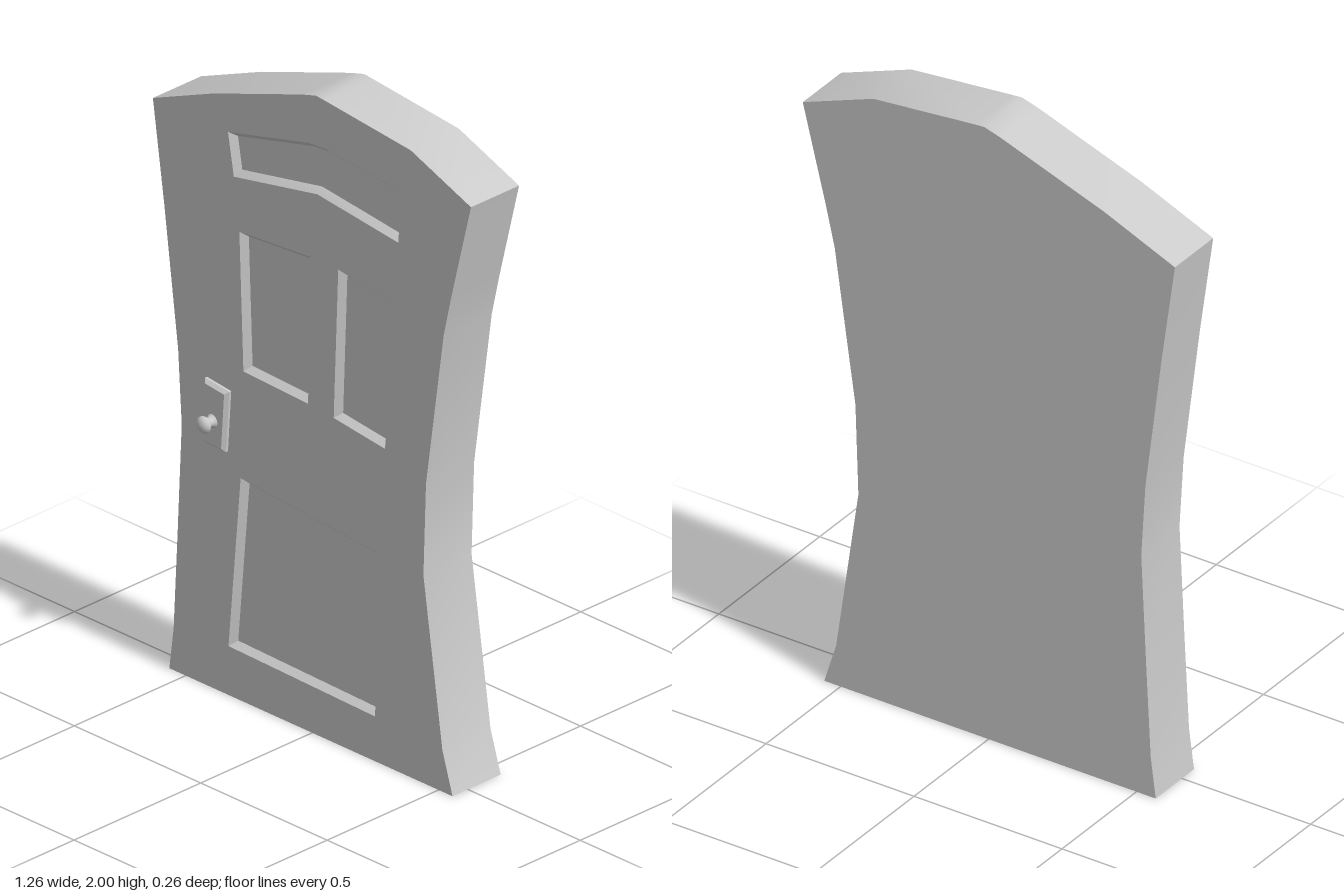
import * as THREE from 'three';
import { mergeGeometries, toCreasedNormals } from 'three/addons/utils/BufferGeometryUtils.js';

const FRONT = 0.06, BACK = -0.13;

// All outlines run clockwise seen from the front.
const OUTLINE = [
  [-0.565, 0], [-0.548, 0.13], [-0.532, 0.44], [-0.516, 0.78], [-0.53, 1.01], [-0.585, 1.445],
  [-0.63, 1.762], [-0.39, 1.862], [-0.04, 1.984], [0.015, 2], [0.05, 1.997], [0.39, 1.963],
  [0.628, 1.87], [0.55, 1.56], [0.52, 1.43], [0.45, 0.94], [0.44, 0.65], [0.515, 0.13], [0.555, 0],
];
const PANELS = {
  topPanel: [[-0.333, 1.762], [-0.013, 1.842], [0.05, 1.847], [0.35, 1.82], [0.341, 1.656], [0.02, 1.693], [-0.31, 1.63]],
  upperRightPanel: [[-0.288, 1.466], [-0.008, 1.487], [-0.016, 1.024], [-0.272, 1.034]],
  upperLeftPanel: [[0.103, 1.487], [0.333, 1.46], [0.288, 0.992], [0.085, 1.016]],
  lowerPanel: [[-0.283, 0.696], [0.26, 0.656], [0.249, 0.14], [-0.331, 0.153]],
};
const PLATE = [[-0.415, 0.966], [-0.32, 0.955], [-0.333, 0.762], [-0.423, 0.765]];

const vectors = (pts) => pts.map(([x, y]) => new THREE.Vector2(x, y));

// Flat polygon facing +z, with optional holes
function face(pts, z, holes = []) {
  const shape = new THREE.Shape(vectors(pts));
  shape.holes = holes.map((h) => new THREE.Path(vectors(h)));
  return new THREE.ShapeGeometry(shape).translate(0, 0, z).toNonIndexed();
}

// Band of quads joining two matching closed rings
function band(a, za, b, zb) {
  const pos = [], uv = [];
  a.forEach((p, i) => {
    const j = (i + 1) % a.length;
    const A = [...p, za], B = [...b[i], zb], C = [...b[j], zb], D = [...a[j], za];
    pos.push(...A, ...B, ...C, ...A, ...C, ...D);
    uv.push(0, 0, 0, 1, 1, 1, 0, 0, 1, 1, 1, 0);
  });
  const g = new THREE.BufferGeometry();
  g.setAttribute('position', new THREE.Float32BufferAttribute(pos, 3));
  g.setAttribute('uv', new THREE.Float32BufferAttribute(uv, 2));
  g.computeVertexNormals();
  return g;
}

// Mitred inward offset of a clockwise ring
function inset(pts, d) {
  const n = pts.length;
  const normal = (p, q) => new THREE.Vector2(q[1] - p[1], p[0] - q[0]).normalize();
  return pts.map((p, i) => {
    const n1 = normal(pts[(i + n - 1) % n], p), n2 = normal(p, pts[(i + 1) % n]);
    const k = d / (1 + n1.dot(n2));
    return [p[0] + (n1.x + n2.x) * k, p[1] + (n1.y + n2.y) * k];
  });
}

export function createModel() {
  const group = new THREE.Group();
  const material = new THREE.MeshStandardMaterial({ color: 0xcccccc });
  const add = (name, geometry) => {
    const mesh = new THREE.Mesh(geometry, material);
    mesh.name = name;
    group.add(mesh);
    return mesh;
  };
  const creased = (parts) => toCreasedNormals(mergeGeometries(parts), 0.5);

  // Slab: front with panel openings, plain back, bowed edges
  const back = face(OUTLINE.map(([x, y]) => [-x, y]), 0).rotateY(Math.PI).translate(0, 0, BACK);
  add('doorSlab', creased([
    face(OUTLINE, FRONT, Object.values(PANELS)),
    back,
    band(OUTLINE, BACK, OUTLINE, FRONT),
  ]));

  // Sunken panels with sloping walls
  for (const [name, ring] of Object.entries(PANELS)) {
    const inner = inset(ring, 0.017);
    add(name, creased([band(ring, FRONT, inner, FRONT - 0.02), face(inner, FRONT - 0.02)]));
  }

  // Bevelled plate behind the knob
  const rim = inset(PLATE, 0.01);
  add('knobPlate', creased([
    band(PLATE, FRONT, PLATE, FRONT + 0.008),
    band(PLATE, FRONT + 0.008, rim, FRONT + 0.018),
    face(rim, FRONT + 0.018),
  ]));

  // Turned knob: flared foot, thin neck, rounded head
  const profile = [
    [0.022, 0], [0.017, 0.006], [0.014, 0.014], [0.015, 0.02], [0.022, 0.026],
    [0.026, 0.032], [0.025, 0.038], [0.019, 0.045], [0.01, 0.049], [0, 0.05],
  ];
  const knob = add('knob', new THREE.LatheGeometry(vectors(profile), 24).rotateX(Math.PI / 2));
  knob.position.set(-0.378, 0.847, FRONT + 0.017);

  return group;
}
